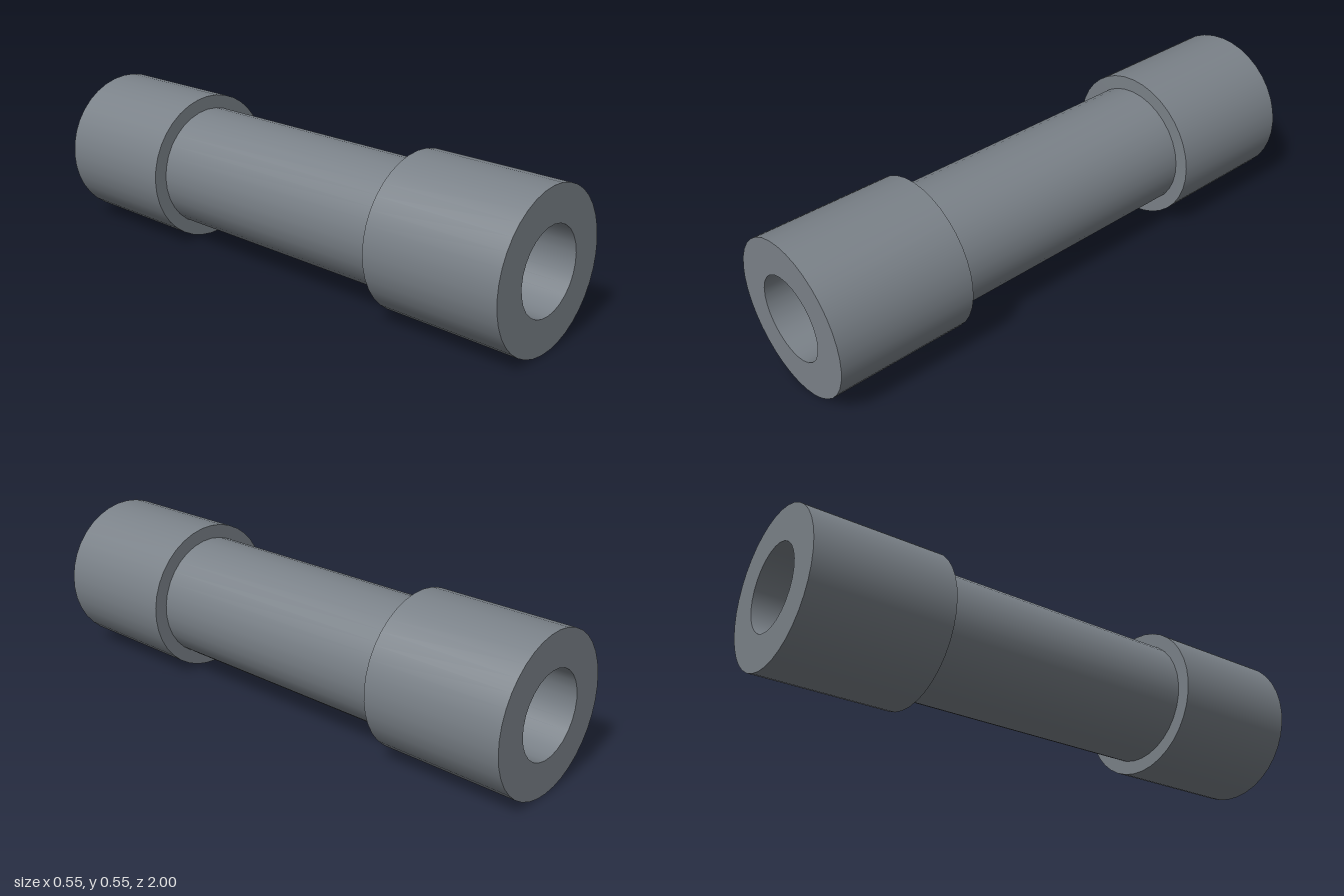
import * as THREE from 'three';

const SLEEVE = { r: 0.275, n: 37 };
const TUBE = { r: 0.225, n: 33 };
const BORE = { r: 0.15, n: 27 };

const material = new THREE.MeshStandardMaterial({ color: 0x7a8188 });

// Smooth wall along z; z0 < z1 faces outward, z0 > z1 faces inward
function wall({ r, n }, z0, z1) {
  const points = [new THREE.Vector2(r, z0), new THREE.Vector2(r, z1)];
  return new THREE.LatheGeometry(points, n, -Math.PI / 2).rotateX(Math.PI / 2);
}

// Polygon points starting at -x, matching the walls
function circle({ r, n }) {
  return Array.from({ length: n }, (_, i) => {
    const a = Math.PI + (i / n) * Math.PI * 2;
    return new THREE.Vector2(r * Math.cos(a), r * Math.sin(a));
  });
}

// Flat annulus at z, facing +z (dir 1) or -z (dir -1)
function ring(outer, inner, z, dir) {
  const shape = new THREE.Shape(circle(outer));
  shape.holes.push(new THREE.Path(circle(inner)));
  const geometry = new THREE.ShapeGeometry(shape);
  if (dir < 0) geometry.rotateX(Math.PI);
  return geometry.translate(0, 0, z);
}

export function createModel() {
  const model = new THREE.Group();
  model.name = 'sleevedTube';
  const add = (parent, name, geometry) => {
    const mesh = new THREE.Mesh(geometry, material);
    mesh.name = name;
    parent.add(mesh);
  };

  // Slim middle tube and the through bore
  add(model, 'middleTube', wall(TUBE, -0.5, 0.5));
  add(model, 'bore', wall(BORE, 1, -1));

  // Wider sleeve at each end: wall, end face and inner shoulder
  for (const s of [1, -1]) {
    const sleeve = new THREE.Group();
    sleeve.name = s > 0 ? 'frontSleeve' : 'backSleeve';
    add(sleeve, 'sleeveWall', wall(SLEEVE, s > 0 ? 0.5 : -1, s > 0 ? 1 : -0.5));
    add(sleeve, 'endFace', ring(SLEEVE, BORE, s, s));
    add(sleeve, 'shoulder', ring(SLEEVE, TUBE, s * 0.5, -s));
    model.add(sleeve);
  }

  // Rest the sleeves on the ground
  model.position.y = SLEEVE.r;
  return model;
}
